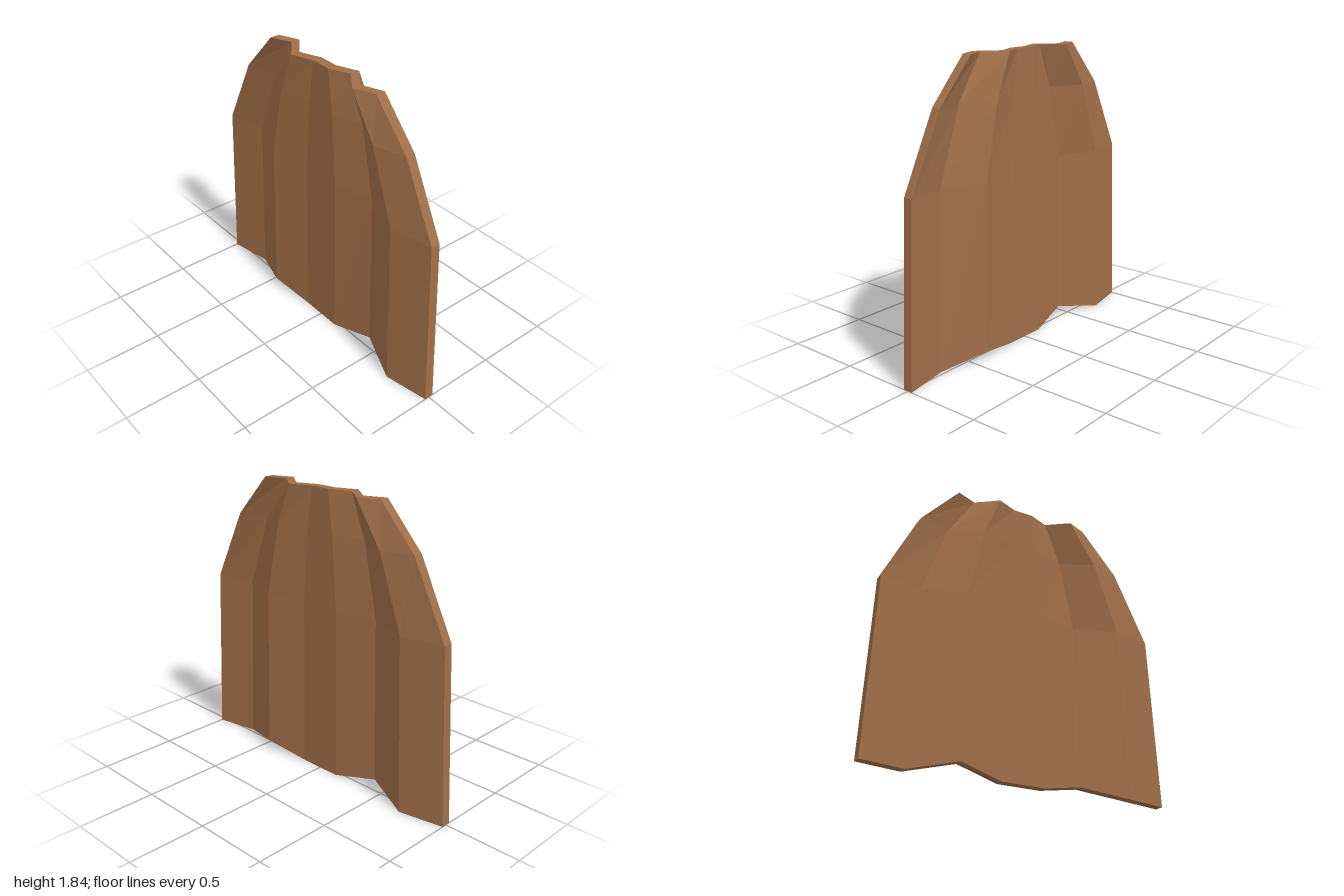
import * as THREE from 'three';

// Wavy slab: each row is a folded cross-section, narrowing towards the top
const ROWS = [[0, 1], [1.11, 0.95], [1.57, 0.72], [1.84, 0.47]]; // height, half width
const FOLD = [0, -0.053, 0.053, 0, 0, -0.053, 0.053, 0]; // depth of each fold
const HEM = [0, 0, 0.06, 0, 0, 0.06, 0, 0]; // lift of the bottom edge
const HALF = 0.03; // half thickness

function foldedSlab() {
  const pos = [];
  const last = FOLD.length - 1, top = ROWS.length - 1;
  const point = (r, c, side) => [
    (c / last * 2 - 1) * ROWS[r][1],
    ROWS[r][0] + (r === 0 ? HEM[c] : 0),
    FOLD[c] + side * HALF,
  ];
  const quad = (a, b, c, d) => pos.push(...a, ...b, ...c, ...a, ...c, ...d);

  // front and back faces
  for (let r = 0; r < top; r++) {
    for (let c = 0; c < last; c++) {
      quad(point(r, c, 1), point(r, c + 1, 1), point(r + 1, c + 1, 1), point(r + 1, c, 1));
      quad(point(r, c + 1, -1), point(r, c, -1), point(r + 1, c, -1), point(r + 1, c + 1, -1));
    }
  }

  // rim, walked anticlockwise as seen from the front
  const rim = [];
  for (let c = 0; c < last; c++) rim.push([0, c]);
  for (let r = 0; r < top; r++) rim.push([r, last]);
  for (let c = last; c > 0; c--) rim.push([top, c]);
  for (let r = top; r > 0; r--) rim.push([r, 0]);
  rim.forEach((p, i) => {
    const q = rim[(i + 1) % rim.length];
    quad(point(...p, 1), point(...p, -1), point(...q, -1), point(...q, 1));
  });

  const geometry = new THREE.BufferGeometry();
  geometry.setAttribute('position', new THREE.Float32BufferAttribute(pos, 3));
  geometry.computeVertexNormals();
  return geometry;
}

export function createModel() {
  const brown = new THREE.MeshStandardMaterial({ color: 0xa06e48, flatShading: true });
  brown.name = 'leather brown';
  const group = new THREE.Group();
  group.name = 'foldedCloth';
  const cloth = new THREE.Mesh(foldedSlab(), brown);
  cloth.name = 'clothPanel';
  group.add(cloth);
  return group;
}
